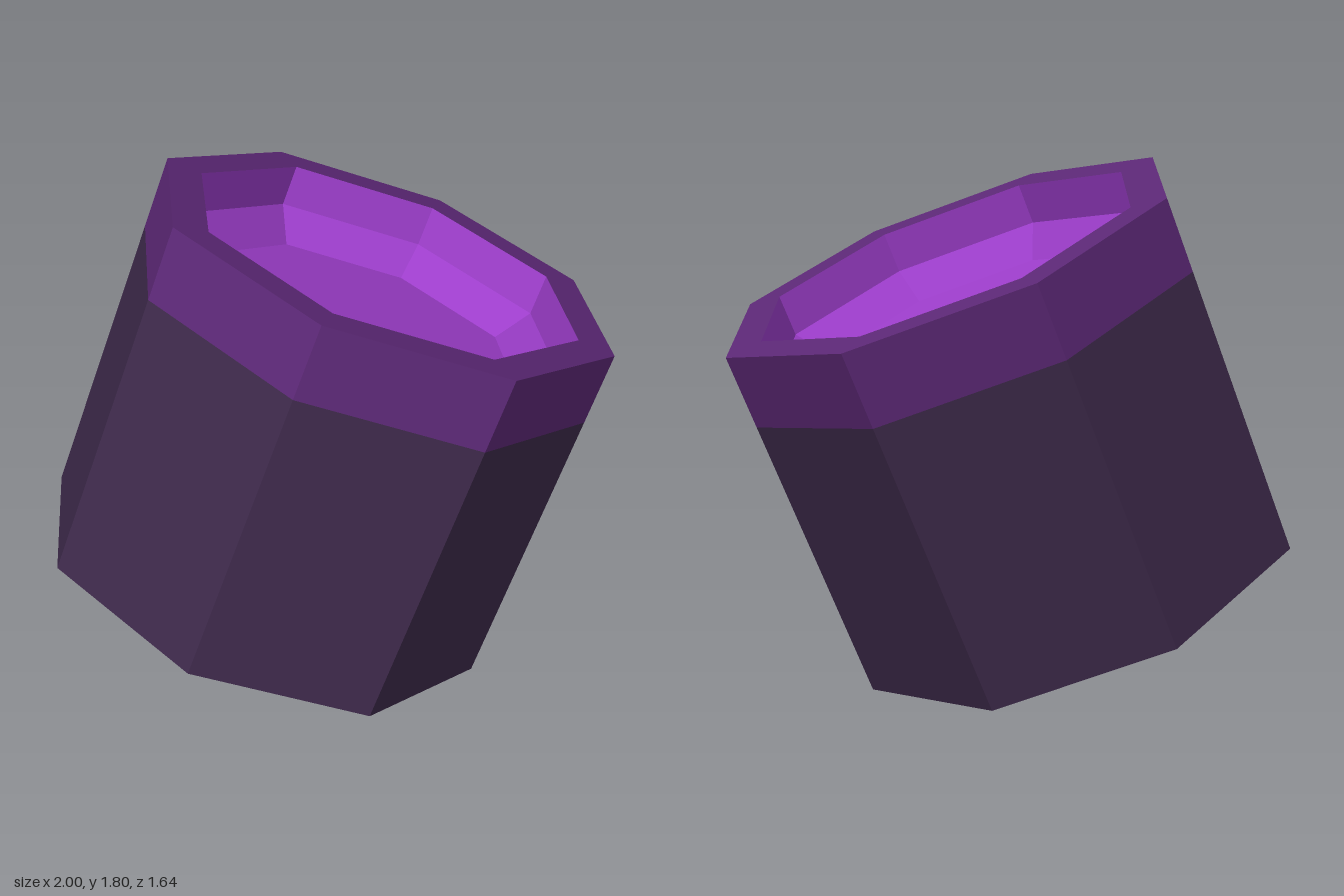
import * as THREE from 'three';

const SIDES = 8;
const TILT = 0.3836;      // lean towards +x, about 22 degrees
const R = 0.818;          // outer radius
const H = 1.283;          // full height along the axis
const BAND = 1.027;       // lower edge of the band, level with the recess floor
const RIM_R = 0.69;       // radius of the opening
const FLOOR_R = 0.58;     // radius of the recess floor

export function createModel() {
  const model = new THREE.Group();
  model.name = 'tiltedCanister';

  const bodyMat = new THREE.MeshStandardMaterial({ color: 0x3d294a });
  const bandMat = new THREE.MeshStandardMaterial({ color: 0x5c2876 });
  const glowMat = new THREE.MeshStandardMaterial({ color: 0x9c3dca });
  bodyMat.name = 'darkPlum';
  bandMat.name = 'deepPurple';
  glowMat.name = 'brightViolet';

  const canister = new THREE.Group();
  canister.name = 'canister';
  canister.rotation.z = -TILT;
  canister.position.set(-H * Math.sin(TILT) / 2, R * Math.sin(TILT), 0);
  model.add(canister);

  const add = (name, geometry, material) => {
    const mesh = new THREE.Mesh(geometry, material);
    mesh.name = name;
    canister.add(mesh);
    return mesh;
  };

  // Faceted octagonal ring from a profile of [radius, height] points
  const ring = (name, profile, material) => {
    const points = profile.map(([r, y]) => new THREE.Vector2(r, y));
    const geometry = new THREE.LatheGeometry(points, SIDES).toNonIndexed();
    geometry.computeVertexNormals();
    return add(name, geometry, material);
  };

  // Flat octagon facing up or down the axis
  const disc = (name, radius, y, up, material) => {
    const geometry = new THREE.CircleGeometry(radius, SIDES);
    geometry.rotateX(up ? -Math.PI / 2 : Math.PI / 2);
    geometry.translate(0, y, 0);
    return add(name, geometry, material);
  };

  // Dark body
  disc('bodyBase', R, 0, false, bodyMat);
  ring('bodyWall', [[R, 0], [R, BAND]], bodyMat);

  // Band around the top and its flat rim
  ring('rimBand', [[R, BAND], [R, H], [RIM_R, H]], bandMat);

  // Recess: straight wall, sloped wall and floor
  ring('recessWall', [[RIM_R, H], [RIM_R, H - 0.148], [FLOOR_R, BAND]], glowMat);
  disc('recessFloor', FLOOR_R, BAND, true, glowMat);

  return model;
}
